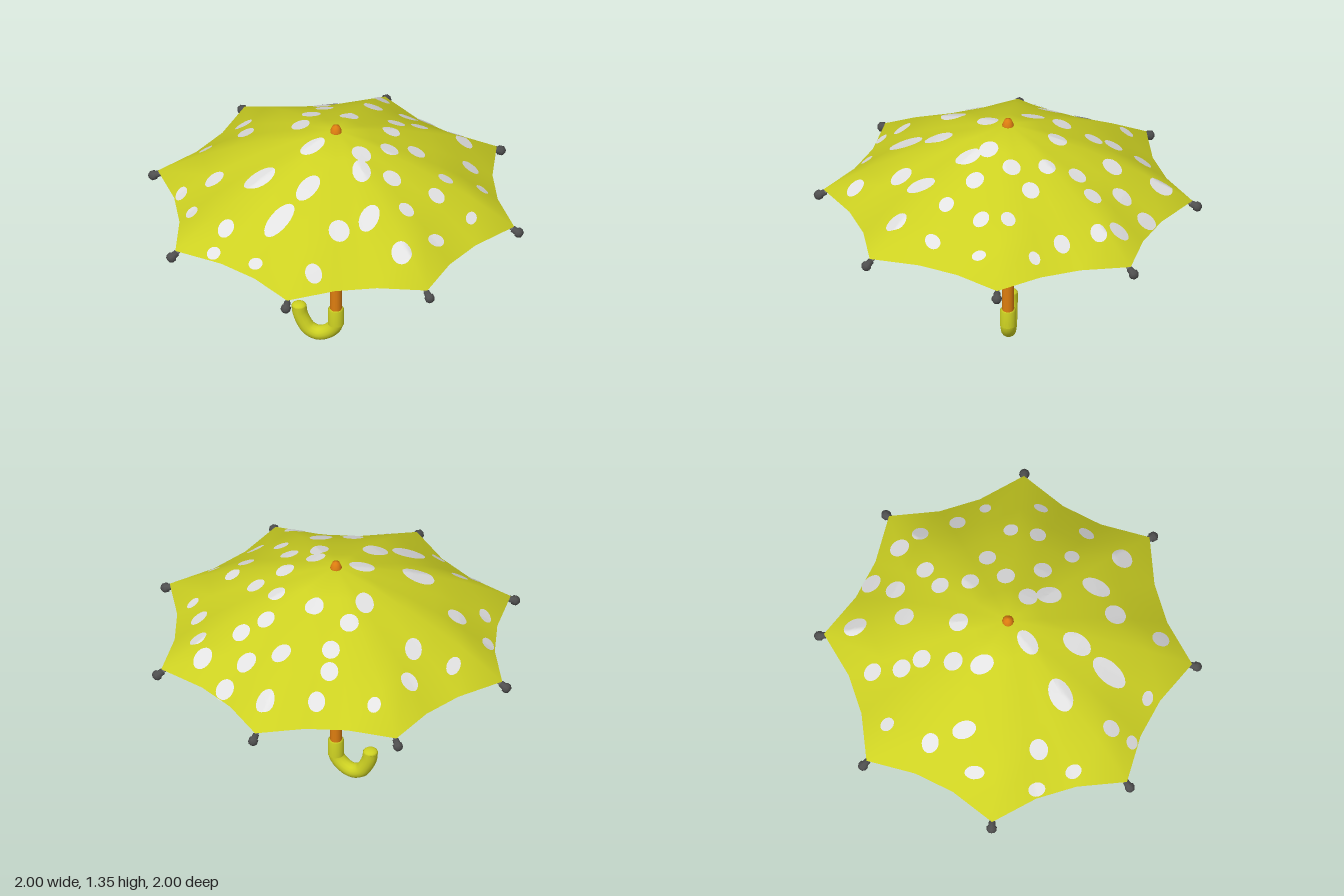
import * as THREE from 'three';
import { mergeGeometries } from 'three/addons/utils/BufferGeometryUtils.js';

const V = (x, y, z = 0) => new THREE.Vector3(x, y, z);
const RIBS = 8, CUTS = 3, SEG = RIBS * CUTS, STEP = Math.PI * 2 / SEG, RIM = 0.95;

// rib profile: radius, height
const PROFILE = [[0, 1.33], [0.2, 1.265], [0.4, 1.19], [0.56, 1.118], [0.72, 1.04], [RIM, 0.9]];

function profileY(r) {
  let i = 1;
  while (i < PROFILE.length - 1 && PROFILE[i][0] < r) i++;
  const [r0, y0] = PROFILE[i - 1], [r1, y1] = PROFILE[i];
  return y0 + (y1 - y0) * (r - r0) / (r1 - r0);
}

// canopy ring: full radius on ribs, pulled in between them, more so at the rim
const pull = (j, t) => (j % CUTS === 0 ? 1 : THREE.MathUtils.lerp(0.933, 0.875, t * t));

function ringRadius(angle, t) {
  const a = ((angle / STEP) % SEG + SEG) % SEG, j = Math.floor(a), f = (a - j) * STEP;
  const k0 = pull(j, t), k1 = pull(j + 1, t);
  return RIM * t * k0 * k1 * Math.sin(STEP) / (k0 * Math.sin(f) + k1 * Math.sin(STEP - f));
}

// drop a plan position onto the canopy
function onCanopy(x, z, lift) {
  const angle = Math.atan2(z, x), r = Math.hypot(x, z);
  let lo = 0, hi = 1;
  for (let n = 0; n < 24; n++) {
    const mid = (lo + hi) / 2;
    if (ringRadius(angle, mid) < r) lo = mid; else hi = mid;
  }
  const rr = Math.min(r, ringRadius(angle, 1));
  return V(rr * Math.cos(angle), profileY(RIM * lo) + lift, rr * Math.sin(angle));
}

function canopyGeometry() {
  const pos = [0, PROFILE[0][1], 0], index = [];
  for (let i = 1; i < PROFILE.length; i++) {
    const [r, y] = PROFILE[i];
    for (let j = 0; j < SEG; j++) {
      const rr = r * pull(j, r / RIM);
      pos.push(rr * Math.cos(j * STEP), y, rr * Math.sin(j * STEP));
      const n = (j + 1) % SEG, a = 1 + (i - 1) * SEG;
      if (i === 1) index.push(0, a + n, a + j);
      else index.push(a - SEG + j, a + n, a + j, a - SEG + j, a - SEG + n, a + n);
    }
  }
  const g = new THREE.BufferGeometry();
  g.setAttribute('position', new THREE.Float32BufferAttribute(pos, 3));
  g.setIndex(index);
  g.computeVertexNormals();
  return g;
}

// dot: an ellipse in plan, laid on the canopy
function dotGeometry([x, z, a, b = a, turn = 0], lift) {
  const g = new THREE.RingGeometry(0, 1, 20, 4).rotateX(-Math.PI / 2), p = g.attributes.position;
  const c = Math.cos(turn), s = Math.sin(turn);
  for (let i = 0; i < p.count; i++) {
    const u = p.getX(i) * a, w = p.getZ(i) * b;
    const q = onCanopy(x + u * c - w * s, z + u * s + w * c, lift);
    p.setXYZ(i, q.x, q.y, q.z);
  }
  g.computeVertexNormals();
  return g;
}

// round dots: x, z, radius
const ROUND = [
  [-0.22, -0.68, 0.044], [-0.5, -0.58, 0.035], [-0.22, -0.53, 0.046], [-0.18, -0.43, 0.046],
  [0.05, -0.54, 0.05], [0.22, -0.6, 0.05], [0.47, -0.6, 0.049], [0.545, -0.5, 0.043],
  [0.32, -0.455, 0.045], [0.22, -0.37, 0.045], [-0.59, -0.35, 0.044], [-0.205, -0.265, 0.049],
  [0, -0.255, 0.049], [0.235, -0.215, 0.045], [0.63, -0.315, 0.042], [0.39, -0.14, 0.045],
  [0.73, -0.18, 0.03], [0.575, -0.035, 0.038], [0.275, -0.035, 0.047], [0.34, 0.15, 0.047],
  [0.565, 0.105, 0.042], [0.455, 0.29, 0.039], [-0.59, 0.21, 0.048], [0.165, 0.54, 0.054],
  [0.5, 0.545, 0.053], [-0.43, 0.57, 0.042], [0.095, 0.78, 0.044], [0.16, 0.09, 0.05],
];
// stretched dots: x, z, half length, half width, turn
const LONG = [
  [0.02, -0.79, 0.06, 0.048, 1.2], [0.28, -0.73, 0.055, 0.044, 0.6], [-0.53, -0.18, 0.062, 0.042, 1.35],
  [-0.725, -0.11, 0.052, 0.03, -1.45], [-0.22, -0.115, 0.062, 0.047, 1.2], [-0.095, 0.11, 0.068, 0.045, -0.75],
  [0.19, 0.195, 0.066, 0.048, 1.3], [0.75, 0.105, 0.038, 0.024, -1.3], [0.63, 0.35, 0.046, 0.03, -0.9],
  [-0.765, 0.215, 0.045, 0.03, 1.2], [-0.66, 0.395, 0.043, 0.03, 1.1], [-0.325, 0.3, 0.083, 0.058, -0.6],
  [-0.05, 0.36, 0.076, 0.053, -1.2], [-0.155, 0.535, 0.095, 0.056, -1.05], [0.295, 0.43, 0.074, 0.047, -1.35],
  [-0.465, 0.68, 0.036, 0.028, 0.1], [-0.225, 0.74, 0.04, 0.026, 0.3],
];

export function createModel() {
  const model = new THREE.Group();
  const mat = (name, color, side = THREE.FrontSide) => {
    const m = new THREE.MeshStandardMaterial({ color, side });
    m.name = name;
    return m;
  };
  const yellow = mat('yellow', 0xcdd122, THREE.DoubleSide);
  const white = mat('pale dots', 0xe2e2e2, THREE.DoubleSide);
  const orange = mat('orange wood', 0xdd7d10);
  const grey = mat('grey metal', 0x747474);
  const lightGrey = mat('light grey metal', 0x9a9a9a);
  const dark = mat('dark tips', 0x505050);
  const add = (name, geometry, material, parent = model) => {
    const m = new THREE.Mesh(geometry, material);
    m.name = name;
    parent.add(m);
    return m;
  };
  const lathe = (pts, n) => new THREE.LatheGeometry(pts.map(([r, y]) => new THREE.Vector2(r, y)), n);

  // canopy with dots seen from both sides
  add('canopy', canopyGeometry(), yellow);
  const dots = [...ROUND, ...LONG];
  add('dotsOutside', mergeGeometries(dots.map(d => dotGeometry(d, 0.005))), white);
  add('dotsInside', mergeGeometries(dots.map(d => dotGeometry(d, -0.005))), white);

  // pole and top cap
  add('pole', new THREE.CylinderGeometry(0.03, 0.03, 1.13, 16), orange).position.y = 0.745;
  add('topCap', lathe([[0, 1.29], [0.032, 1.3], [0.03, 1.325], [0.019, 1.353], [0, 1.36]], 12), orange);

  // hooked handle
  const hook = new THREE.CatmullRomCurve3([
    V(0, 0.21), V(0, 0.12), V(-0.02, 0.085), V(-0.06, 0.055), V(-0.1, 0.046),
    V(-0.145, 0.065), V(-0.175, 0.11), V(-0.192, 0.155), V(-0.197, 0.195),
  ]);
  add('handle', new THREE.TubeGeometry(hook, 28, 0.039, 14), yellow);
  const end = add('handleEnd', new THREE.SphereGeometry(0.039, 14, 8), yellow);
  end.position.set(-0.197, 0.195, 0);
  end.scale.y = 0.5;
  add('handleCollar', lathe([[0.03, 0.212], [0.041, 0.21], [0.042, 0.12]].reverse(), 16), yellow);

  // sliding runner
  add('runner', new THREE.CylinderGeometry(0.04, 0.04, 0.15, 16), lightGrey).position.y = 0.99;
  add('runnerCollar', new THREE.CylinderGeometry(0.045, 0.045, 0.025, 16), grey).position.y = 1.07;
  add('ribHub', new THREE.CylinderGeometry(0.042, 0.042, 0.03, 16), grey).position.y = 1.265;

  // spring catch on the pole
  const fin = new THREE.Shape([[-0.02, 0.69], [-0.055, 0.695], [-0.025, 0.745]].map(([x, y]) => new THREE.Vector2(x, y)));
  const finMesh = add('catchFin', new THREE.ExtrudeGeometry(fin, { depth: 0.012, bevelEnabled: false }), lightGrey);
  finMesh.rotation.y = Math.PI / 2;
  finMesh.position.x = 0.012;
  const button = add('catchButton', new THREE.CylinderGeometry(0.015, 0.01, 0.035, 8).rotateX(Math.PI / 2), lightGrey);
  button.position.set(0.018, 0.642, 0.038);

  // ribs, stretchers and tips
  const ribCurve = new THREE.CatmullRomCurve3([
    V(0.03, 1.268), V(0.2, 1.232), V(0.4, 1.165), V(0.56, 1.093), V(0.72, 1.014), V(0.965, 0.872)]);
  const ribGeo = new THREE.TubeGeometry(ribCurve, 16, 0.012, 8);
  const strutGeo = new THREE.TubeGeometry(new THREE.LineCurve3(V(0.04, 1.07), V(0.42, 1.15)), 1, 0.006, 6);
  const tipGeo = lathe([[0, -0.032], [0.017, -0.032], [0.019, -0.008], [0.026, -0.004],
    [0.026, 0.014], [0.016, 0.028], [0, 0.031]], 8);
  for (let i = 0; i < RIBS; i++) {
    const rib = new THREE.Group();
    rib.name = 'ribAssembly';
    rib.rotation.y = i * Math.PI * 2 / RIBS;
    model.add(rib);
    add('rib', ribGeo, grey, rib);
    add('stretcher', strutGeo, grey, rib);
    const tip = add('ribTip', tipGeo, dark, rib);
    tip.position.set(0.968, 0.87, 0);
    tip.rotation.z = -Math.PI / 2 - 0.5;
  }
  return model;
}
